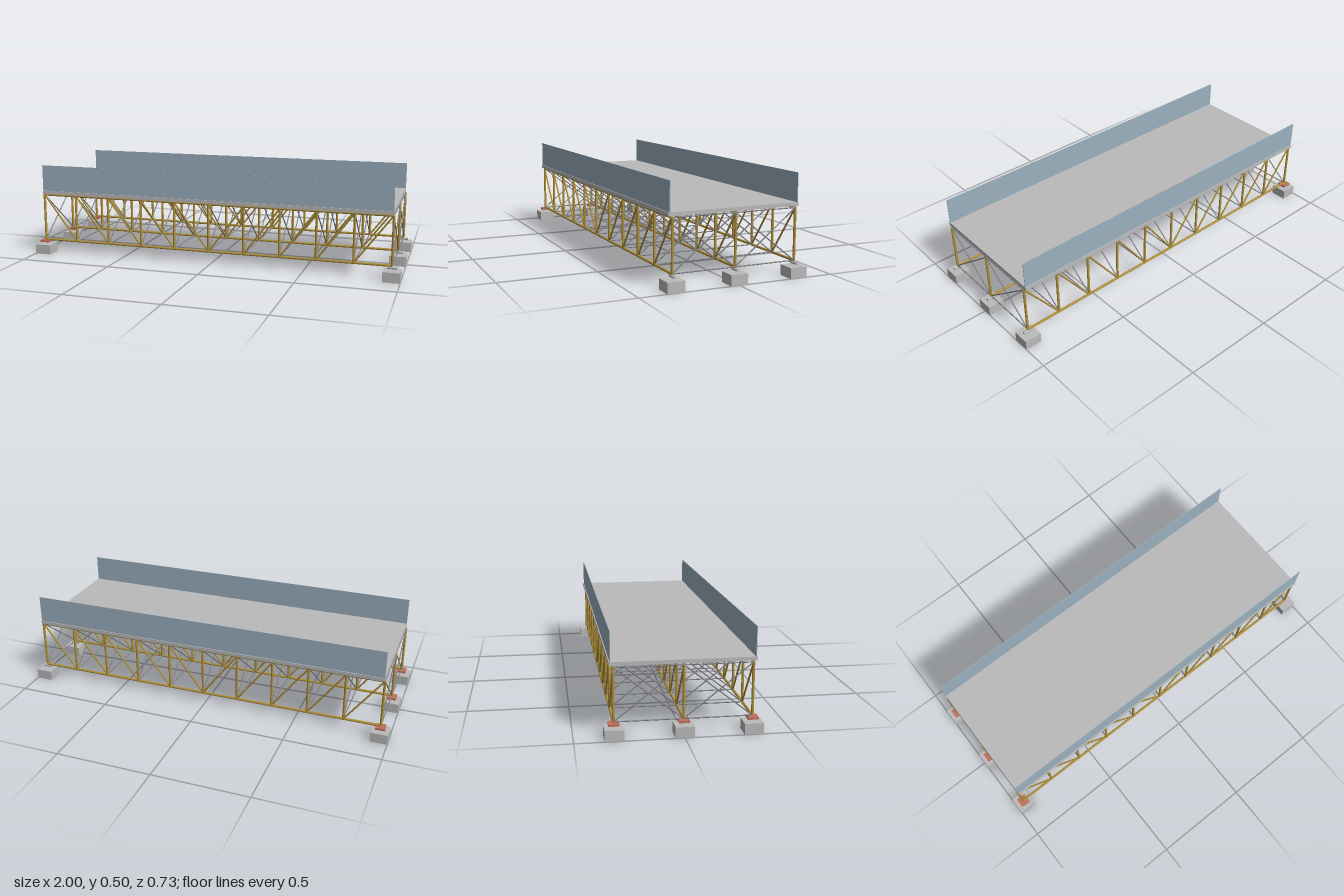
import * as THREE from 'three';

const mat = (name, color) => {
  const m = new THREE.MeshStandardMaterial({ color });
  m.name = name;
  return m;
};

export function createModel() {
  const concrete = mat('concrete', 0xbababa);
  const gold = mat('goldSteel', 0xb0903a);
  const grey = mat('greySteel', 0x85858a);
  const red = mat('redBearing', 0xc4705c);
  const panel = mat('bluePanel', 0x9ab0be);

  const model = new THREE.Group();
  model.name = 'trussBridge';

  const box = (name, m, size, pos, parent = model) => {
    const mesh = new THREE.Mesh(new THREE.BoxGeometry(...size), m);
    mesh.name = name;
    mesh.position.set(...pos);
    parent.add(mesh);
  };

  // Round bar between two points
  const bar = (name, m, a, b, r, parent) => {
    const p = new THREE.Vector3(...a), q = new THREE.Vector3(...b);
    const d = q.clone().sub(p);
    const mesh = new THREE.Mesh(new THREE.CylinderGeometry(r, r, d.length(), 12), m);
    mesh.name = name;
    mesh.position.copy(p).add(q).multiplyScalar(0.5);
    mesh.quaternion.setFromUnitVectors(new THREE.Vector3(0, 1, 0), d.normalize());
    parent.add(mesh);
  };

  const half = 0.955, low = 0.077, high = 0.33, bays = 10;
  const step = (2 * half) / bays;
  const rows = [-0.319, 0, 0.319];

  // Deck and side panels
  box('deck', concrete, [2 * half, 0.018, 0.674], [0, 0.345, 0]);
  for (const s of [-1, 1]) {
    box('sidePanel', panel, [2 * half, 0.141, 0.003], [0, 0.4245, s * 0.331]);
  }

  // Three trusses, their diagonals falling towards midspan
  for (const z of rows) {
    const truss = new THREE.Group();
    truss.name = 'truss';
    model.add(truss);
    bar('bottomChord', gold, [-half, low, z], [half, low, z], 0.0065, truss);
    bar('topChord', gold, [-half, high, z], [half, high, z], 0.0065, truss);
    for (let i = 0; i <= bays; i++) {
      const x = -half + i * step;
      bar('post', gold, [x, low, z], [x, high, z], 0.0065, truss);
      if (i === bays) continue;
      const falling = i < bays / 2;
      bar('diagonal', gold, [x, falling ? high : low, z],
        [x + step, falling ? low : high, z], 0.0045, truss);
    }

    // Piers, with fixed bearings at one end and rollers at the other
    for (const s of [-1, 1]) {
      box('pier', concrete, [0.088, 0.052, 0.088], [s * 0.956, 0.026, z]);
    }
    box('fixedBearing', red, [0.05, 0.011, 0.05], [-half, 0.0685, z]);
    bar('rollerBearing', concrete, [half - 0.025, 0.066, z], [half + 0.025, 0.066, z], 0.007, model);
  }

  // Cross frames joining neighbouring trusses at every post
  for (let i = 0; i <= bays; i++) {
    const x = -half + i * step;
    const frame = new THREE.Group();
    frame.name = 'crossFrame';
    model.add(frame);
    for (let k = 0; k < 2; k++) {
      const a = rows[k], b = rows[k + 1];
      bar('lowerStrut', grey, [x, low, a], [x, low, b], 0.003, frame);
      bar('upperStrut', grey, [x, high, a], [x, high, b], 0.003, frame);
      bar('crossBrace', grey, [x, low, a], [x, high, b], 0.003, frame);
      bar('crossBrace', grey, [x, high, a], [x, low, b], 0.003, frame);
    }
  }
  return model;
}
